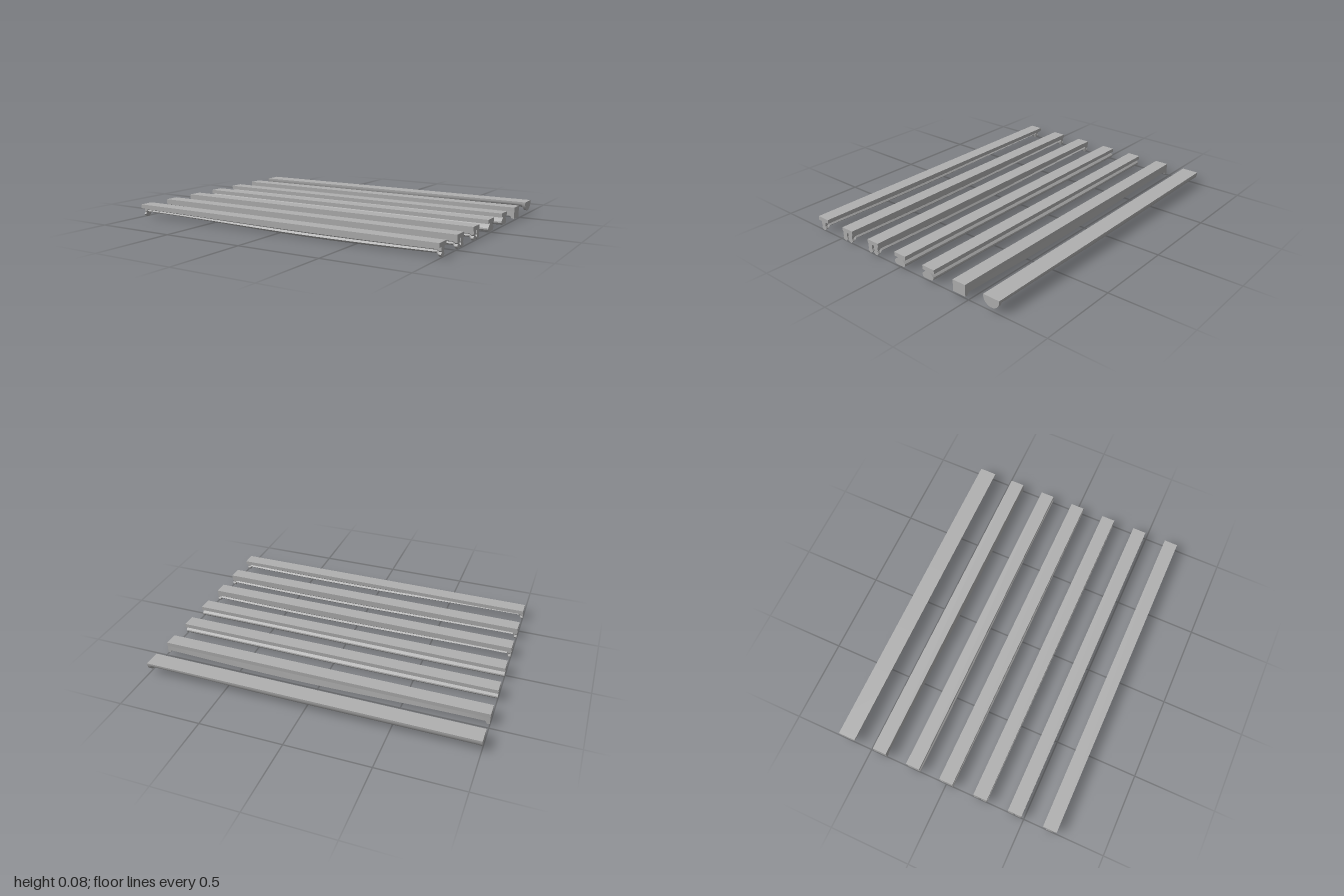
import * as THREE from 'three';
import { toCreasedNormals } from 'three/addons/utils/BufferGeometryUtils.js';

const grey = new THREE.MeshStandardMaterial({ color: 0xb0b0b0 });
grey.name = 'plain grey';

const TOP = 0.08, UNDER = 0.056;
const STEPS = [-1, -0.985, -0.975, -0.85, -0.7, -0.55, -0.4, -0.25, -0.1, 0.05, 0.2, 0.35, 0.5, 0.65, 0.8, 0.9, 0.975, 0.985, 1];

// Skin a closed cross-section of [z, y] points along x; section(x) may vary
function loft(section) {
  const rings = STEPS.map((x) => {
    const pts = section(x);
    let area = 0;
    pts.forEach(([z, y], i) => {
      const [z2, y2] = pts[(i + 1) % pts.length];
      area += y * z2 - y2 * z;
    });
    if (area < 0) pts.reverse();
    return pts.map(([z, y]) => [x, y, z]);
  });
  const pos = [];
  const tri = (a, b, c) => pos.push(...a, ...b, ...c);
  const n = rings[0].length;
  for (let i = 0; i < rings.length - 1; i++) {
    for (let j = 0; j < n; j++) {
      const k = (j + 1) % n;
      const a = rings[i][j], b = rings[i][k], c = rings[i + 1][k], d = rings[i + 1][j];
      tri(a, b, c);
      tri(a, c, d);
    }
  }
  // end caps fanned from the middle of the section
  const cap = (ring, flip) => {
    const mid = [0, 1, 2].map((q) => ring.reduce((s, p) => s + p[q], 0) / n);
    for (let j = 0; j < n; j++) {
      const a = ring[j], b = ring[(j + 1) % n];
      flip ? tri(mid, b, a) : tri(mid, a, b);
    }
  };
  cap(rings[0], true);
  cap(rings[rings.length - 1], false);
  const geo = new THREE.BufferGeometry();
  geo.setAttribute('position', new THREE.Float32BufferAttribute(pos, 3));
  return toCreasedNormals(geo, 0.6);
}

function add(group, geo, name, x = 0, y = 0, z = 0) {
  const mesh = new THREE.Mesh(geo, grey);
  mesh.name = name;
  mesh.position.set(x, y, z);
  group.add(mesh);
}

// Flat strip on top of a rail
function topStrip(group, z0, z1) {
  add(group, new THREE.BoxGeometry(2, TOP - UNDER, z1 - z0), 'topStrip', 0, (TOP + UNDER) / 2, (z0 + z1) / 2);
}

// Stem with a pointed bulb; full depth at both ends, gently bowed between
function keel(group, z, w) {
  const depth = (x) => Math.abs(x) > 0.98 ? 1 : 0.68 + 0.2 * Math.cos((x - 0.3) * 2.4);
  add(group, loft((x) => {
    const d = depth(x);
    const half = [[w * 0.85, 0], [w * 0.85, 0.021], [w * 0.6, 0.027], [w * 1.1, 0.039], [w * 0.9, 0.045], [w * 0.25, 0.054]];
    const right = half.map(([a, b]) => [z + a, UNDER - b * d]);
    const left = half.map(([a, b]) => [z - a, UNDER - b * d]).reverse();
    return [...right, ...left];
  }), 'keel');
}

// Low rounded bar under a strip, its sides waving slightly
function roundBar(group, z, phase) {
  const half = [[0.012, 0.056], [0.028, 0.046], [0.044, 0.032], [0.045, 0.024], [0.038, 0.014], [0.026, 0.01]];
  add(group, loft((x) => {
    const s = 0.95 + 0.06 * Math.cos(3 * x + phase);
    const t = 0.95 + 0.06 * Math.cos(3 * x - phase + 2);
    return [
      ...half.map(([a, b]) => [z + a * s, b]),
      ...half.map(([a, b]) => [z - a * t, b]).reverse(),
    ];
  }), 'roundBar');
}

export function createModel() {
  const model = new THREE.Group();
  model.name = 'railSet';
  const rail = (name) => {
    const g = new THREE.Group();
    g.name = name;
    model.add(g);
    return g;
  };

  // Single-keel rail
  const single = rail('singleKeelRail');
  topStrip(single, 0.62, 0.705);
  keel(single, 0.663, 0.019);

  // Two rails with a pair of keels
  [[0.4, 0.485, 0.022], [0.18, 0.265, 0.021]].forEach(([z0, z1, inset]) => {
    const g = rail('doubleKeelRail');
    topStrip(g, z0, z1);
    keel(g, z0 + inset - 0.002, 0.018);
    keel(g, z1 - inset + 0.002, 0.018);
  });

  // Two rails with a rounded bar below
  [[-0.04, 0.045, 0.5], [-0.257, -0.172, 1.6]].forEach(([z0, z1, phase]) => {
    const g = rail('roundBarRail');
    topStrip(g, z0, z1);
    roundBar(g, (z0 + z1) / 2 + 0.003, phase);
  });

  // Channel rail: strip, two bowed side walls and end plates
  const channel = rail('channelRail');
  topStrip(channel, -0.478, -0.392);
  [-1, 1].forEach((side) => {
    add(channel, loft((x) => {
      const low = Math.abs(x) > 0.98 ? 0.012 : 0.022 - 0.008 * Math.cos((x - 0.2) * 3);
      const out = 0.043 + 0.004 * Math.cos(1.5 * x);
      return [[0.042, UNDER], [out, low], [out - 0.018, low], [0.024, UNDER]].map(([a, y]) => [-0.435 + side * a, y]);
    }), 'sideWall');
    add(channel, new THREE.BoxGeometry(0.015, 0.046, 0.084), 'endPlate', side * 0.9925, 0.034, -0.435);
  });

  // Half-round rail, shallower towards one end
  const half = rail('halfRoundRail');
  add(half, loft((x) => {
    const d = Math.abs(x) > 0.98 ? 1 : 0.95 - 0.35 * THREE.MathUtils.smoothstep(x, 0.1, 0.95);
    const pts = [[-0.705, TOP], [-0.6, TOP]];
    for (let i = 0; i <= 12; i++) {
      const a = (i / 12) * Math.PI;
      pts.push([-0.6525 + 0.0525 * Math.cos(a), 0.072 - 0.05 * d * Math.sin(a)]);
    }
    return pts;
  }), 'halfRoundBody');

  return model;
}
